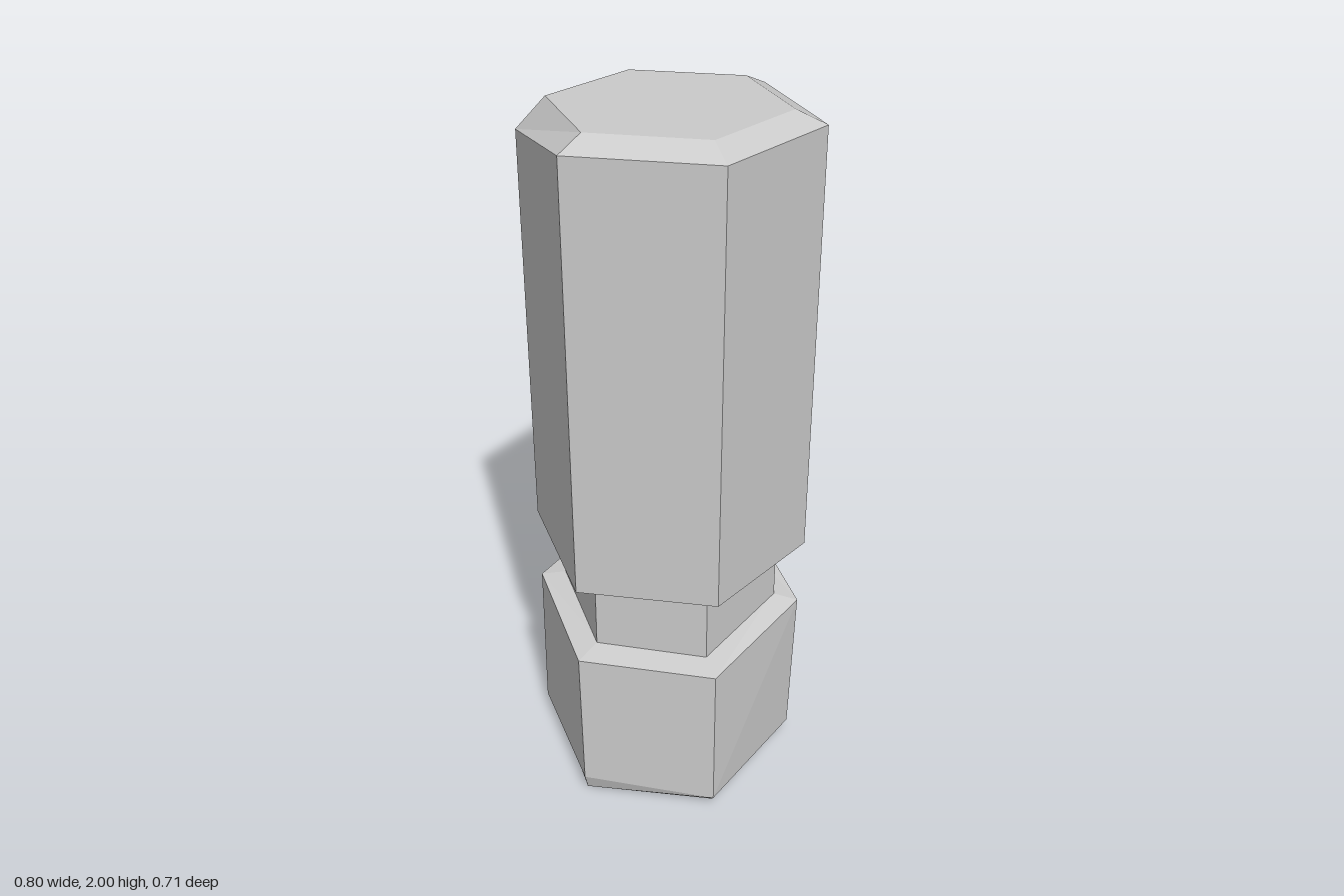
import * as THREE from 'three';

// One hexagonal ring: corners run from +x through the front (+z) to -x and round the back.
// y is a single height or one height per corner; shift nudges single corners by [dx, dz].
function ring(radius, y, shift = {}) {
  return Array.from({ length: 6 }, (_, i) => {
    const a = (i * Math.PI) / 3;
    const [dx, dz] = shift[i] || [0, 0];
    return new THREE.Vector3(
      radius * Math.cos(a) + dx,
      Array.isArray(y) ? y[i] : y,
      radius * Math.sin(a) + dz
    );
  });
}

// Closed solid through rings listed from bottom to top.
function loft(name, rings, material) {
  const points = [];
  const centre = (r) => r.reduce((s, p) => s.add(p), new THREE.Vector3()).divideScalar(6);
  const bottom = rings[0];
  const top = rings[rings.length - 1];
  const bottomCentre = centre(bottom);
  const topCentre = centre(top);
  for (let i = 0; i < 6; i++) {
    const j = (i + 1) % 6;
    points.push(bottomCentre, bottom[i], bottom[j], topCentre, top[j], top[i]);
    for (let k = 0; k < rings.length - 1; k++) {
      const lo = rings[k];
      const hi = rings[k + 1];
      points.push(lo[j], lo[i], hi[i], lo[j], hi[i], hi[j]);
    }
  }
  const geometry = new THREE.BufferGeometry().setFromPoints(points);
  geometry.computeVertexNormals();
  const mesh = new THREE.Mesh(geometry, material);
  mesh.name = name;
  return mesh;
}

export function createModel() {
  const group = new THREE.Group();
  group.name = 'hexagonalPeg';
  const material = new THREE.MeshStandardMaterial({ color: 0xcccccc, flatShading: true });

  // Long upper shaft with a chamfered top, one corner cut lower
  group.add(loft('upperShaft', [
    ring(0.315, 0.723),
    ring(0.398, [0.735, 0.733, 0.733, 0.74, 0.745, 0.74], { 2: [0.005, 0.005], 3: [-0.002, -0.018], 4: [0, -0.011] }),
    ring(0.397, [1.965, 1.965, 1.965, 1.91, 1.965, 1.965]),
    ring(0.315, 2),
  ], material));

  // Narrow neck between the two bodies
  group.add(loft('neck', [
    ring(0.317, [0.54, 0.495, 0.5, 0.54, 0.575, 0.565]),
    ring(0.317, 0.73),
  ], material));

  // Foot with a sloping top and an uneven chamfered underside
  group.add(loft('foot', [
    ring(0.372, [0.05, 0.018, 0.004, 0.04, 0.003, 0.008], { 0: [-0.02, 0], 1: [0.005, 0.012], 2: [0, 0.012] }),
    ring(0.395, [0.065, 0.037, 0.055, 0.055, 0.035, 0.025], { 0: [-0.02, 0], 1: [0, 0.008], 2: [0.008, 0.008] }),
    ring(0.392, [0.53, 0.482, 0.49, 0.525, 0.597, 0.575], { 0: [-0.005, 0], 1: [0, 0.004], 2: [0, 0.006] }),
    ring(0.312, [0.545, 0.5, 0.508, 0.545, 0.595, 0.575]),
  ], material));

  return group;
}
